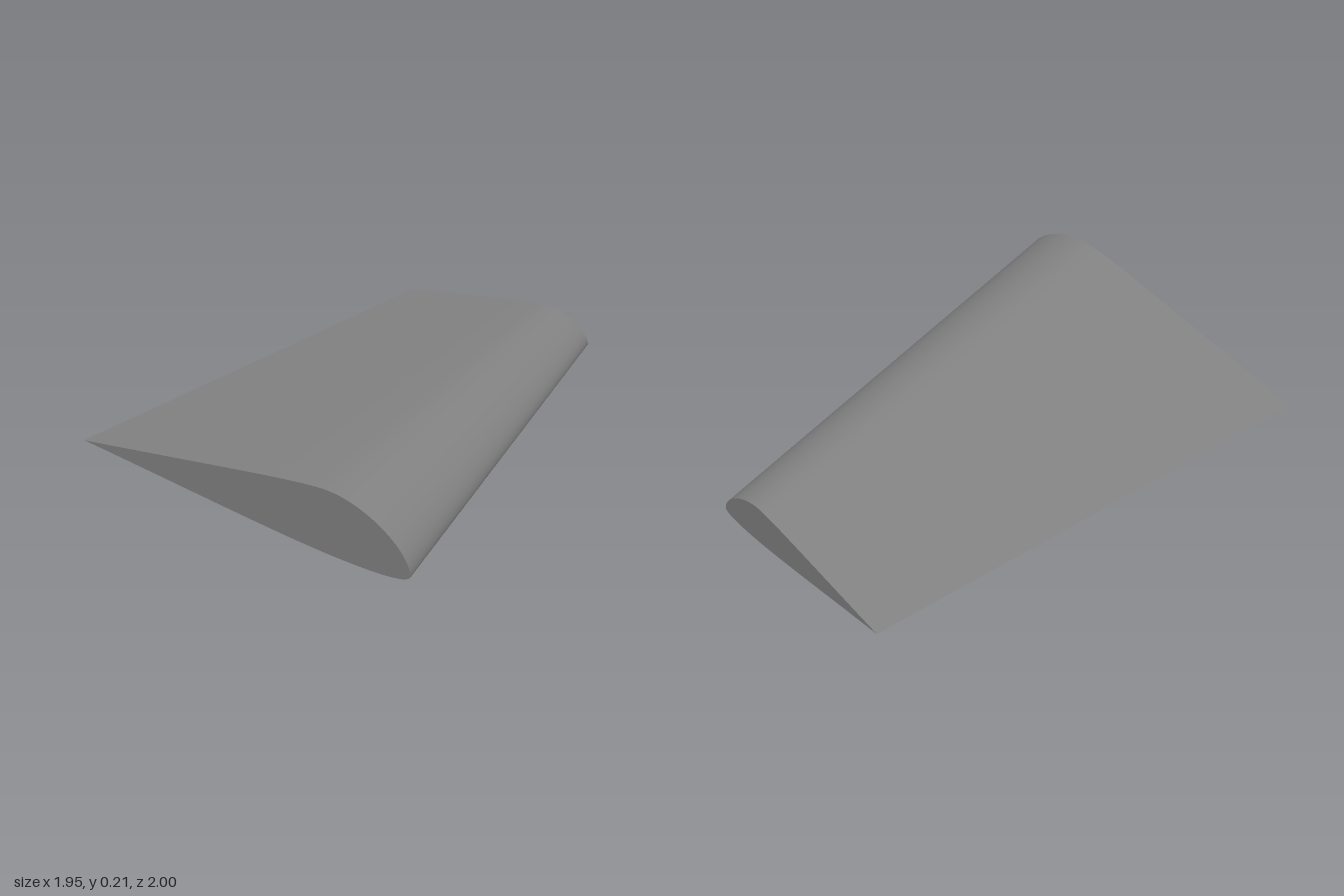
import * as THREE from 'three';

const V = (u, h) => new THREE.Vector2(u, h);
const curve = (...p) => new THREE.CubicBezierCurve(...p.map(([u, h]) => V(u, h)));

// Unit-chord aerofoil: trailing edge, over the top, round the nose, back underneath
function aerofoil() {
  const parts = [
    curve([1, 0], [0.57, 0.0605], [0.31, 0.1035], [0.23, 0.1035]),
    curve([0.23, 0.1035], [0.12, 0.1035], [0.005, 0.045], [0, -0.005]),
    curve([0, -0.005], [0, -0.024], [0.1, -0.03], [0.225, -0.03]),
    curve([0.225, -0.03], [0.4, -0.03], [0.75, -0.009], [1, 0]),
  ];
  return parts.flatMap((c, i) => c.getPoints(20).slice(i ? 1 : 0));
}

// Places the aerofoil at span fraction t (0 root, 1 tip)
function section(profile, t) {
  const lerp = THREE.MathUtils.lerp;
  const lead = lerp(1, -0.083, t), trail = lerp(-0.555, -1, t);
  const chord = lead - trail, height = lerp(0.047, 0.045, t);
  return profile.map(p => [lerp(-0.977, 0.977, t), height + p.y * chord, lead - p.x * chord]);
}

function makeMesh(name, points, index, material) {
  const geo = new THREE.BufferGeometry();
  geo.setAttribute('position', new THREE.Float32BufferAttribute(points.flat(), 3));
  geo.setIndex(index);
  geo.computeVertexNormals();
  const mesh = new THREE.Mesh(geo, material);
  mesh.name = name;
  return mesh;
}

export function createModel() {
  const group = new THREE.Group();
  group.name = 'wing';
  const material = new THREE.MeshStandardMaterial({ color: 0x858585 });
  const profile = aerofoil();
  const n = profile.length, spans = 8;

  // Tapered, swept skin lofted from root to tip
  const points = [], index = [];
  for (let s = 0; s <= spans; s++) {
    points.push(...section(profile, s / spans));
    if (s === spans) break;
    for (let i = 0; i < n - 1; i++) {
      const a = s * n + i, b = a + n;
      index.push(a, a + 1, b, a + 1, b + 1, b);
    }
  }
  group.add(makeMesh('wingSkin', points, index, material));

  // Flat end caps, bridging upper and lower outlines
  for (const [name, t] of [['rootCap', 0], ['tipCap', 1]]) {
    const faces = [];
    for (let i = 0; i < (n - 1) / 2; i++) {
      const j = n - 1 - i;
      faces.push(i, j, i + 1, i + 1, j, j - 1);
    }
    if (t === 1) faces.reverse();
    group.add(makeMesh(name, section(profile, t), faces, material));
  }
  return group;
}
